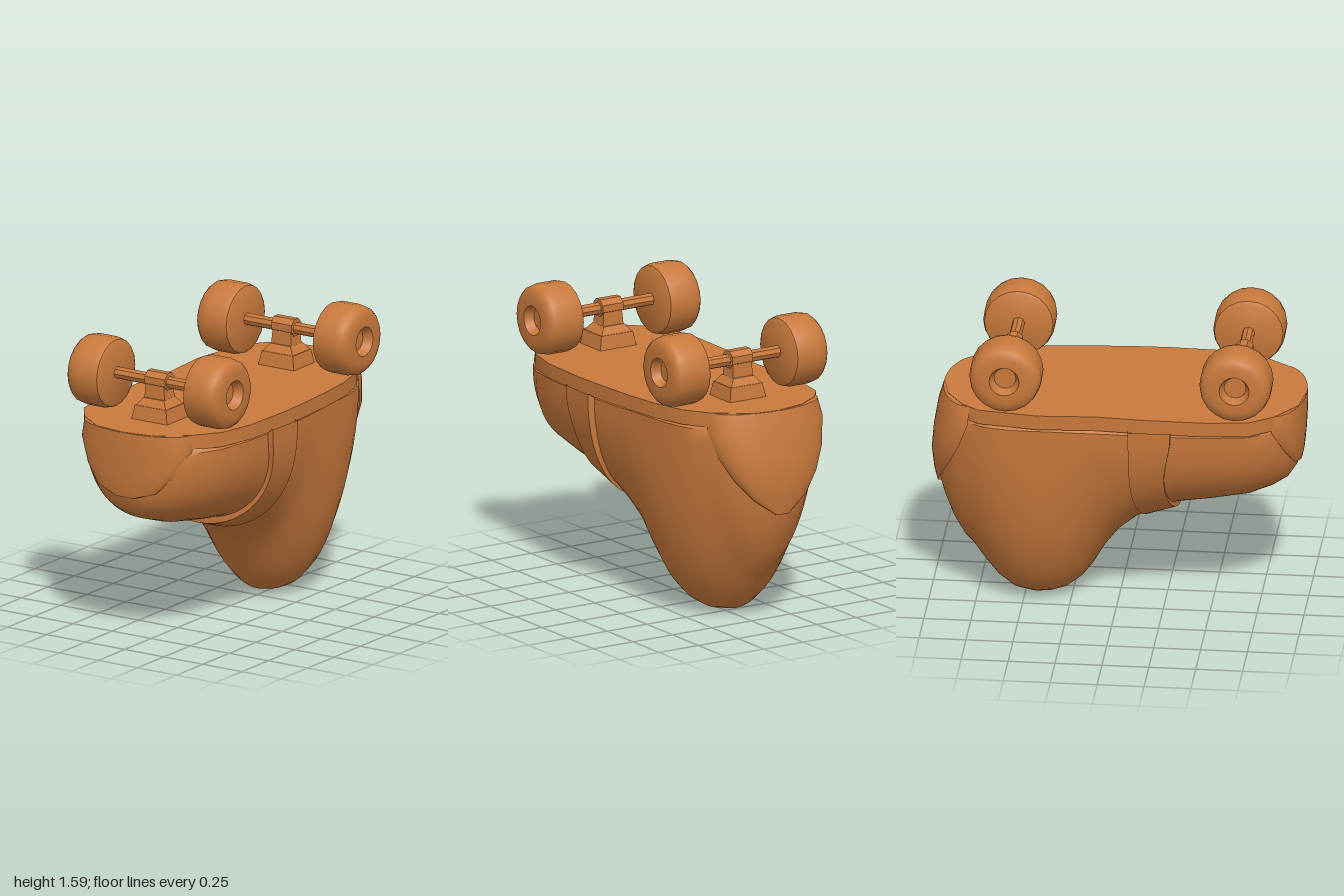
import * as THREE from 'three';
import { toCreasedNormals } from 'three/addons/utils/BufferGeometryUtils.js';

const bronze = new THREE.MeshStandardMaterial({ color: 0xc8793c, side: THREE.DoubleSide });
bronze.name = 'bronze';

function mesh(name, geometry) {
  const m = new THREE.Mesh(geometry, bronze);
  m.name = name;
  return m;
}

// Skin a grid of points (rows of equal length)
function loft(rows) {
  const n = rows[0].length, index = [];
  for (let i = 0; i < rows.length - 1; i++) {
    for (let j = 0; j < n - 1; j++) {
      const a = i * n + j, b = a + 1, c = a + n, d = c + 1;
      index.push(a, b, c, b, d, c);
    }
  }
  const g = new THREE.BufferGeometry();
  g.setAttribute('position', new THREE.Float32BufferAttribute(rows.flat(2), 3));
  g.setIndex(index);
  g.computeVertexNormals();
  return g;
}

// Point on a U-shaped section hanging from the given top height
function uPoint(angle, w, bottom, z, power, top) {
  const c = Math.cos(angle), s = Math.max(0, Math.sin(angle));
  const x = w * Math.sign(c) * Math.pow(Math.abs(c), 2 / power);
  return [x, top - (top - bottom) * Math.pow(s, 2 / power), z];
}

// Boot upper: toe to heel, with the leg hanging down at the back
function makeUpper() {
  const sections = [ // z, half width, lowest y, roundness, top y
    [0.965, 0, 0.92, 2.2, 0.92], [0.96, 0.1, 0.85, 2.2, 0.98], [0.945, 0.19, 0.79, 2.2, 1.02],
    [0.9, 0.285, 0.725, 2.2, 1.06], [0.82, 0.365, 0.68, 2.25, 1.1], [0.7, 0.425, 0.64, 2.3, 1.1],
    [0.5, 0.452, 0.605, 2.3, 1.1], [0.33, 0.46, 0.58, 2.3, 1.1], [0.2, 0.46, 0.53, 2.25, 1.1],
    [0.1, 0.46, 0.47, 2.15, 1.1], [0, 0.457, 0.38, 2, 1.1], [-0.08, 0.453, 0.27, 1.85, 1.1],
    [-0.14, 0.45, 0.165, 1.78, 1.1], [-0.2, 0.447, 0.085, 1.85, 1.1], [-0.28, 0.442, 0.025, 2, 1.1],
    [-0.36, 0.438, 0.006, 2.15, 1.1], [-0.44, 0.435, 0, 2.18, 1.1], [-0.55, 0.427, 0.02, 2.05, 1.1],
    [-0.64, 0.41, 0.085, 1.9, 1.1], [-0.71, 0.385, 0.17, 1.82, 1.1], [-0.77, 0.347, 0.255, 1.8, 1.1],
    [-0.82, 0.315, 0.31, 1.85, 1.08], [-0.88, 0.255, 0.42, 1.95, 1.05], [-0.93, 0.18, 0.55, 2, 1],
    [-0.96, 0.1, 0.65, 2, 0.95], [-0.972, 0, 0.8, 2, 0.8],
  ];
  const rows = sections.map(([z, w, b, power, top]) => {
    const row = [], centre = -0.008 + Math.min(0, z) * 0.05;
    for (let j = 0; j <= 32; j++) {
      const p = uPoint((j / 32) * Math.PI, w, b, z, power, top);
      row.push([p[0] + centre, p[1], p[2]]);
    }
    // top edge turned in under the sole
    const lip = (x) => [x + centre, top + 0.02, z];
    return [lip(w * 0.94), ...row, lip(-w * 0.94)];
  });
  return mesh('bootUpper', toCreasedNormals(loft(rows), 0.8));
}

// Flat sole board
function makeSole() {
  const outline = [ // x, z around the edge
    [-0.02, 0.99], [0.15, 0.965], [0.31, 0.85], [0.42, 0.7], [0.465, 0.5], [0.475, 0.2],
    [0.468, 0], [0.45, -0.25], [0.425, -0.45], [0.37, -0.65], [0.28, -0.78], [0.1, -0.915],
    [-0.05, -0.935], [-0.22, -0.9], [-0.36, -0.81], [-0.43, -0.72], [-0.475, -0.4],
    [-0.455, -0.1], [-0.473, 0.2], [-0.475, 0.5], [-0.45, 0.72], [-0.36, 0.85], [-0.2, 0.965],
  ];
  const shape = new THREE.Shape(outline.map(([x, z]) => new THREE.Vector2(x, -z)));
  const g = new THREE.ExtrudeGeometry(shape, { depth: 0.08, bevelEnabled: false });
  g.rotateX(-Math.PI / 2).translate(0, 1.115, 0);
  return mesh('sole', toCreasedNormals(g, 0.6));
}

// Curved guard wrapped round one end: rows of y, half width, side z, end z
function makeGuard(name, centre, levels) {
  const rows = levels.map(([y, w, zSide, zEnd]) => {
    const row = [];
    for (let j = 0; j <= 16; j++) {
      const a = (j / 16 - 0.5) * Math.PI;
      row.push([w * Math.sin(a) + centre, y, zSide + (zEnd - zSide) * Math.cos(a)]);
    }
    return row;
  });
  // inner lip closing the edge thickness
  rows.push(rows[rows.length - 1].map(([x, y, z]) => [x, y, z - Math.sign(z) * 0.04]));
  return mesh(name, toCreasedNormals(loft(rows), 0.9));
}

// Raised strap around the instep, slanting forward underneath
function makeStrap() {
  const edges = [ // half width, lowest y, z at sole, forward shift underneath
    [0.43, 0.62, 0.27, 0.06], [0.483, 0.54, 0.265, 0.06],
    [0.49, 0.485, 0.085, 0.08], [0.43, 0.56, 0.08, 0.08], [0.43, 0.62, 0.27, 0.06],
  ];
  const rows = edges.map(([w, b, z, shift]) => {
    const row = [];
    for (let j = 0; j <= 32; j++) {
      const a = (j / 32) * Math.PI;
      const flare = z > 0.2 ? 0.045 * Math.pow(Math.abs(Math.cos(a)), 20) : 0;
      row.push(uPoint(a, w, b, z + flare + shift * Math.pow(Math.sin(a), 4), 2.25, 1.125));
    }
    return row;
  });
  return mesh('instepStrap', toCreasedNormals(loft(rows), 0.6));
}

// Wheel with rounded rims and a recessed hub, axis along x
function makeWheel(side) {
  const profile = [
    [0, -0.108], [0.165, -0.108], [0.183, -0.098], [0.192, -0.07], [0.192, 0.04],
    [0.184, 0.08], [0.165, 0.1], [0.13, 0.11], [0.08, 0.11], [0.058, 0.06], [0, 0.06],
  ].map(([r, h]) => new THREE.Vector2(r, h));
  const g = toCreasedNormals(new THREE.LatheGeometry(profile, 20), 0.75);
  g.rotateZ(-side * Math.PI / 2);
  return mesh(side > 0 ? 'leftWheel' : 'rightWheel', g);
}

// Four-sided tapered block between two heights
function taper(name, y0, y1, bottom, top, depthScale = 0.86) {
  const g = new THREE.CylinderGeometry(top * Math.SQRT2, bottom * Math.SQRT2, y1 - y0, 4, 1);
  g.rotateY(Math.PI / 4).scale(1, 1, depthScale).translate(0, (y0 + y1) / 2, 0);
  return mesh(name, toCreasedNormals(g, 0.2));
}

// Truck: stepped mount, post, axle and a pair of wheels
function makeTruck(name, z, mountX) {
  const truck = new THREE.Group();
  truck.name = name;
  const mount = new THREE.Group();
  mount.name = 'axleMount';
  mount.position.x = mountX;
  mount.add(
    taper('mountBase', 1.19, 1.27, 0.115, 0.1),
    taper('mountStep', 1.27, 1.31, 0.095, 0.065),
    taper('mountPost', 1.3, 1.42, 0.065, 0.055, 0.75),
  );
  const cap = mesh('mountCap', new THREE.CylinderGeometry(0.05, 0.05, 0.13, 8));
  cap.geometry = toCreasedNormals(cap.geometry.rotateY(Math.PI / 8).rotateZ(Math.PI / 2), 0.2);
  cap.position.y = 1.405;
  mount.add(cap);

  const axleGeometry = new THREE.CylinderGeometry(0.033, 0.033, 0.6, 8).rotateZ(Math.PI / 2);
  const axle = mesh('axle', toCreasedNormals(axleGeometry, 0.2));
  axle.position.set(-0.015, 1.4, 0);
  truck.add(mount, axle);
  for (const side of [-1, 1]) {
    const wheel = makeWheel(side);
    wheel.position.set(-0.014 + side * 0.375, 1.396, 0);
    truck.add(wheel);
  }
  truck.position.z = z;
  return truck;
}

export function createModel() {
  const model = new THREE.Group();
  model.name = 'rollerSkate';
  model.add(
    makeUpper(),
    makeSole(),
    makeGuard('toeGuard', -0.022, [
      [1.193, 0.335, 0.83, 0.83], [1.193, 0.335, 0.83, 0.993], [1.1, 0.345, 0.84, 0.995],
      [0.97, 0.275, 0.9, 0.988], [0.87, 0.185, 0.945, 0.978], [0.83, 0.06, 0.965, 0.97],
    ]),
    makeGuard('heelGuard', -0.058, [
      [1.193, 0.33, -0.77, -0.77], [1.193, 0.33, -0.77, -0.937], [1.1, 0.355, -0.775, -0.965],
      [0.95, 0.32, -0.83, -0.99], [0.83, 0.255, -0.885, -1], [0.72, 0.165, -0.935, -0.987],
      [0.63, 0.04, -0.965, -0.97],
    ]),
    makeStrap(),
    makeTruck('frontTruck', 0.653, -0.012),
    makeTruck('rearTruck', -0.573, -0.03),
  );
  return model;
}
